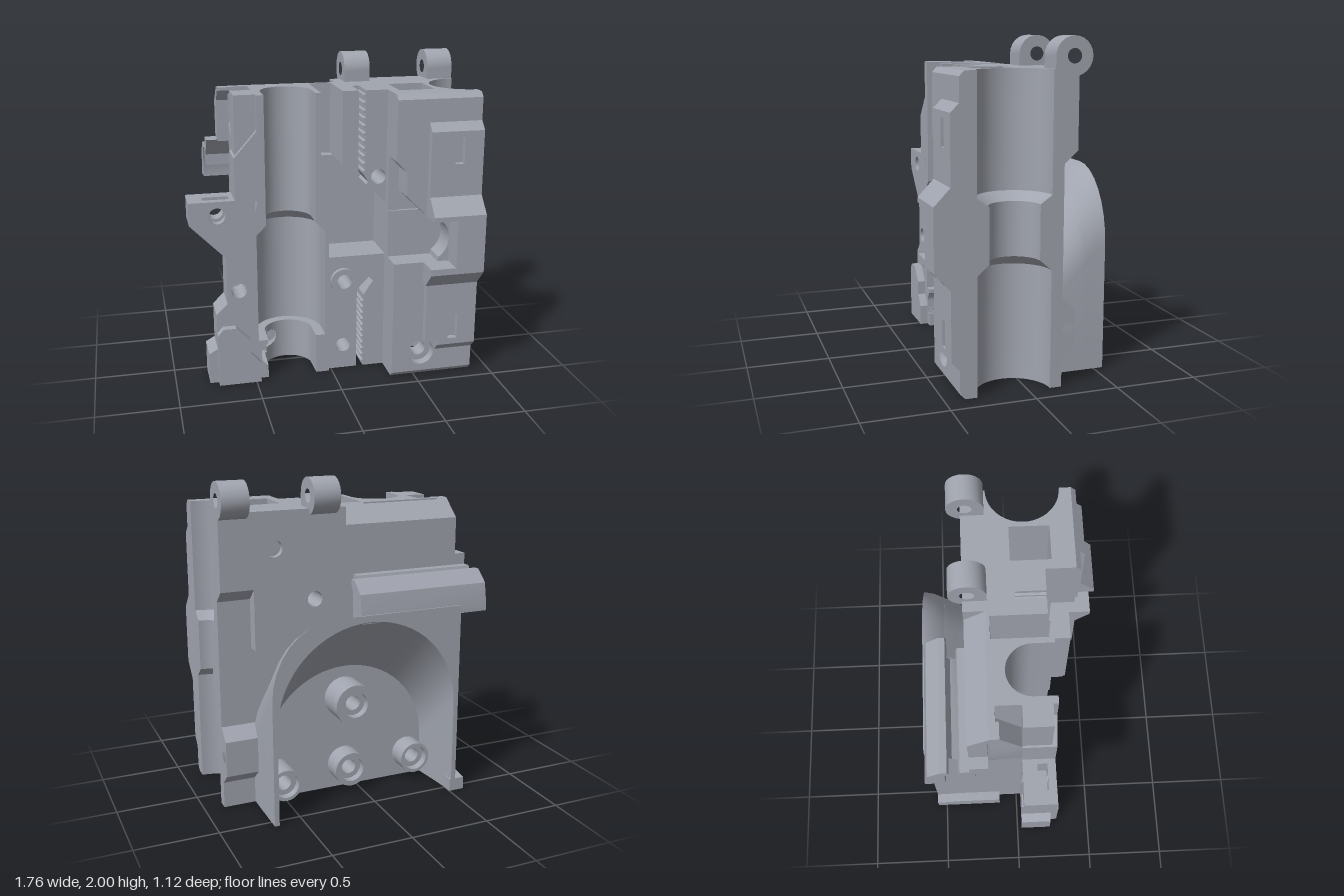
import * as THREE from 'three';
import { toCreasedNormals } from 'three/addons/utils/BufferGeometryUtils.js';

const material = new THREE.MeshStandardMaterial({ color: 0xa1a5af });
const V = (p) => new THREE.Vector2(p[0], p[1]);

export function createModel() {
  const group = new THREE.Group();

  const add = (name, geo) => {
    const mesh = new THREE.Mesh(toCreasedNormals(geo, 0.55), material);
    mesh.name = name;
    group.add(mesh);
  };
  const shapeOf = (pts, holes = []) => {
    const s = new THREE.Shape(pts.map(V));
    for (const [x, y, r] of holes) s.holes.push(new THREE.Path().absarc(x, y, r, 0, Math.PI * 2, true));
    return s;
  };
  // Plate: front outline (x, y) between two depths
  const plate = (name, pts, z0, z1, holes) =>
    add(name, new THREE.ExtrudeGeometry(shapeOf(pts, holes), { depth: z1 - z0, bevelEnabled: false, curveSegments: 14 }).translate(0, 0, z0));
  // Bar: side profile (z, y) between two x positions
  const bar = (name, pts, x0, x1, holes = []) =>
    add(name, new THREE.ExtrudeGeometry(
      shapeOf(pts.map(([z, y]) => [-z, y]), holes.map(([z, y, r]) => [-z, y, r])),
      { depth: x1 - x0, bevelEnabled: false, curveSegments: 14 }).rotateY(Math.PI / 2).translate(x0, 0, 0));
  const rect = (x0, x1, y0, y1) => [[x0, y0], [x1, y0], [x1, y1], [x0, y1]];

  // Skin a list of [depth, outline] rings with equal point counts
  const loft = (rings) => {
    const flip = THREE.ShapeUtils.isClockWise(rings[0][1].map(V));
    const rs = rings.map(([d, pts]) => (flip ? [...pts].reverse() : pts).map(([x, y]) => [x, y, d]));
    const n = rs[0].length, out = [];
    for (let k = 0; k < rs.length - 1; k++) {
      for (let i = 0; i < n; i++) {
        const j = (i + 1) % n, a = rs[k], b = rs[k + 1];
        out.push(...a[i], ...a[j], ...b[j], ...a[i], ...b[j], ...b[i]);
      }
    }
    const cap = (ring, back) => {
      for (const [a, b, c] of THREE.ShapeUtils.triangulateShape(ring.map(V), [])) {
        out.push(...ring[a], ...ring[back ? c : b], ...ring[back ? b : c]);
      }
    };
    cap(rs[0], true);
    cap(rs[rs.length - 1], false);
    const g = new THREE.BufferGeometry();
    g.setAttribute('position', new THREE.Float32BufferAttribute(out, 3));
    return g;
  };
  // Upright loft: rings of (x, z) outlines stacked in y
  const column = (name, rings) =>
    add(name, loft(rings.map(([y, pts]) => [y, pts.map(([x, z]) => [x, -z])])).rotateX(-Math.PI / 2));
  const arc = (cx, cy, r, a0, a1, n = 24) => Array.from({ length: n + 1 }, (_, i) => {
    const a = a0 + (a1 - a0) * i / n;
    return [cx + r * Math.cos(a), cy + r * Math.sin(a)];
  });
  const disc = (x, y, r) => arc(x, y, r, 0, Math.PI * 2, 24).slice(0, -1);

  // Left column with a U-shaped bearing channel, open to the front
  const leftRing = (r, xr, xl, xo, zs) => [[xo, -0.16], [xr, -0.16], [xr, 0.23], [-0.26 + r, 0.23],
    ...arc(-0.26, 0.1, r, 0, -Math.PI), [-0.26 - r, 0.23], [xl, 0.23], [xl, zs], [xo, zs]];
  column('leftBearingColumn', [
    [0.26, leftRing(0.215, -0.02, -0.5, -0.54, 0.03)], [0.96, leftRing(0.215, -0.02, -0.5, -0.54, 0.03)],
    [1.02, leftRing(0.155, -0.06, -0.5, -0.54, 0.03)], [1.19, leftRing(0.155, -0.07, -0.46, -0.58, 0.03)],
    [1.4, leftRing(0.155, -0.07, -0.46, -0.58, 0.03)], [1.6, leftRing(0.155, -0.07, -0.46, -0.58, -0.12)],
    [1.82, leftRing(0.155, -0.07, -0.46, -0.58, -0.12)]]);
  plate('leftColumnWing', [[-0.59, 1.82], [-0.59, 1.4], [-0.46, 1.56], [-0.46, 1.82]], 0.03, 0.2);
  plate('leftColumnWingLower', [[-0.6, 1.18], [-0.45, 1.18], [-0.45, 1.62], [-0.6, 1.45]], 0.03, 0.23);

  // Narrow lower end of the channel, with a counterbored screw hole cut into its wall
  const endRing = (y) => {
    const half = (r) => Math.sqrt(Math.max(0, r * r - (y - 0.16) ** 2));
    const front = Array.from({ length: 131 }, (_, i) => {
      const x = -0.02 - 0.52 * i / 130, d = Math.abs(x + 0.26), h = Math.abs(x + 0.37);
      const z = d < 0.155 ? 0.1 - Math.sqrt(0.155 ** 2 - d * d) : 0.23;
      return [x, h < half(0.048) ? -0.058 : h < half(0.085) ? Math.min(z, 0.02) : z];
    });
    return [y, [[-0.54, -0.06], [-0.02, -0.06], ...front]];
  };
  const boreLevels = Array.from({ length: 25 }, (_, i) => 0.16 + 0.086 * Math.sin((i - 12) * Math.PI / 24));
  column('leftChannelEnd', [0, ...boreLevels, 0.26].map(endRing));
  plate('leftChannelEndWall', rect(-0.54, -0.02, 0, 0.26), -0.15, -0.058, [[-0.37, 0.16, 0.048]]);

  // Left flange with ear, nut slot and foot
  const flangeSide = [[-0.88, 1.19], [-0.88, 1.05], [-0.665, 0.83], [-0.665, 0.53],
    [-0.735, 0.46], [-0.735, 0.23], [-0.79, 0.2], [-0.79, 0]];
  const nutSlot = [[-0.63, 1.19], [-0.63, 1.02], [-0.79, 1.02], [-0.79, 1.19]];
  for (const [z0, z1, slotted] of [[0.03, 0.12, false], [0.12, 0.18, true], [0.18, 0.23, false]]) {
    plate('leftFlange', [[-0.48, 0], [-0.48, 1.19], ...(slotted ? nutSlot : []), ...flangeSide], z0, z1,
      [[-0.59, 0.61, 0.048], ...(slotted ? [] : [[-0.71, 1.1, 0.05]])]);
  }
  plate('leftFoot', [[-0.735, 0], [-0.735, 0.34], [-0.7, 0.38], [-0.62, 0.38], [-0.53, 0.29], [-0.53, 0.2],
    [-0.47, 0.13], [-0.47, 0]], 0.22, 0.28);

  // Right column with a half-round bearing channel open to the side, and a rounded notch in its front
  const rightRing = (r, xn, zf = 0.41) => [[0.63, -0.2], [0.88, -0.2], ...arc(0.88, 0.09, r, -Math.PI / 2, -Math.PI * 1.5),
    [0.88, zf], [xn, zf], [xn, 0.26], [0.63, 0.26]];
  const notchRings = arc(0.55, 0.92, 0.15, -0.95, 0.95, 10).map(([x, y]) => [y, rightRing(0.15, x)]);
  column('rightBearingColumn', [
    [0, rightRing(0.22, 0.63, 0.38)], [0.03, rightRing(0.22, 0.63)], [0.7, rightRing(0.22, 0.63)], [0.76, rightRing(0.15, 0.63)],
    ...notchRings, [1.08, rightRing(0.15, 0.63)], [1.13, rightRing(0.22, 0.63)],
    [1.79, rightRing(0.22, 0.63)], [1.82, rightRing(0.22, 0.63, 0.38)]]);

  // Walls around the square vertical duct
  const ductHole = [[0.54, 0.16, 0.048]], ductBore = [[0.54, 0.16, 0.085]];
  const upperDuct = (top) => [[0.35, top], [0.35, 1.42], [0.42, 1.35], [0.42, 1.2], [0.55, 1.07], [0.63, 1.07], [0.63, top]];
  plate('ductBackWall', rect(0.35, 0.63, 0, 1.82), -0.2, 0, ductHole);
  plate('ductSideWall', rect(0.35, 0.41, 0, 1.82), 0, 0.25);
  plate('ductFrontWall', rect(0.35, 0.64, 0.77, 1.07), 0.24, 0.26);
  plate('ductLowerFront', rect(0.35, 0.63, 0, 0.77), 0.24, 0.35, ductHole);
  plate('ductLowerBore', rect(0.35, 0.63, 0, 0.77), 0.35, 0.38, ductBore);
  plate('ductLowerFace', rect(0.35, 0.63, 0.03, 0.77), 0.38, 0.41, ductBore);
  plate('ductUpperFront', upperDuct(1.82), 0.24, 0.38);
  plate('ductUpperFace', upperDuct(1.79), 0.38, 0.41);
  bar('ductBottomChamfer', [[0.38, 0], [0.41, 0.03], [0.38, 0.03]], 0.35, 0.63);
  bar('ductTopChamfer', [[0.38, 1.79], [0.41, 1.79], [0.38, 1.82]], 0.35, 0.63);

  // Raised front rib with two nut slots
  const ribProfiles = (slot, foot, step) => {
    const notch = (y) => (slot ? [[0.46, y + 0.08], [0.42, y + 0.08], [0.42, y - 0.08], [0.46, y - 0.08]] : []);
    return [[[0.4, 1.66], [0.41, 1.65], [0.46, 1.6], ...notch(1.48), [0.46, 1.2], [0.4, 1.2]],
      [[0.4, 0.63], [0.46, 0.63], ...notch(0.34), [0.46, foot + step], [0.41, foot], [0.4, foot]]];
  };
  for (const [x0, x1, slot, foot, step] of [[0.55, 0.63, false, 0.25, 0], [0.63, 0.7, false, 0.17, 0.05],
    [0.7, 0.76, true, 0.17, 0.05], [0.76, 0.88, false, 0.17, 0.05]]) {
    ribProfiles(slot, foot, step).forEach((p) => bar('frontRib', p, x0, x1));
  }
  bar('ribBulge', [[0.4, 1.2], [0.46, 1.2], [0.555, 1.1], [0.555, 0.73], [0.46, 0.63], [0.4, 0.63]], 0.7, 0.88);
  bar('ribBulgeLower', [[0.4, 0.77], [0.555, 0.77], [0.555, 0.73], [0.46, 0.63], [0.4, 0.63]], 0.54, 0.7);
  bar('ribBulgeUpper', [[0.4, 1.07], [0.555, 1.07], [0.555, 1.1], [0.46, 1.2], [0.4, 1.2]], 0.55, 0.7);

  // Middle posts with toothed belt slots
  const teeth = (y0, y1) => Array.from({ length: 11 }, (_, i) => {
    const y = y0 + (y1 - y0) * i / 11, s = (y1 - y0) / 11;
    return [[0.215, y], [0.215, y + s * 0.5], [0.2, y + s * 0.6], [0.2, y + s * 0.9]];
  }).flat();
  const upper = [[0.07, 1.82], [0.07, 1.37], [0.36, 1.1], [0.36, 1.82]];
  const upperHoles = [[0.3, 1.28, 0.047]];
  plate('upperPostBack', upper, -0.13, 0.02, upperHoles);
  plate('upperPostFront', [...upper, ...teeth(1.82, 1.3), [0.235, 1.25], [0.22, 1.235], [0.17, 1.29], [0.17, 1.82]],
    0.02, 0.2, upperHoles);
  const lowerHoles = [[0.08, 0.61, 0.047], [0.08, 0.16, 0.047]];
  plate('lowerPostBack', rect(-0.03, 0.36, 0, 0.77), -0.13, 0.02, lowerHoles);
  plate('lowerPostFront', [[-0.03, 0], [0.17, 0], [0.17, 0.54], [0.25, 0.62], [0.275, 0.59], [0.215, 0.5],
    ...teeth(0.48, 0.02), [0.215, 0], [0.36, 0], [0.36, 0.77], [-0.03, 0.77]], 0.02, 0.2, lowerHoles);
  plate('recessFloor', [[-0.03, 0.77], [0.36, 0.77], [0.36, 1.1], [0.08, 1.37], [-0.03, 1.37]], -0.13, -0.06, upperHoles);
  plate('frontBoss', disc(0.08, 0.61, 0.085), 0.19, 0.23, [[0.08, 0.61, 0.047]]);

  // Back plates, with a stepped overhanging rail on the left
  plate('lowerBackPlate', rect(-0.54, 0.36, 0, 1.05), -0.2, -0.12, [...lowerHoles, [-0.37, 0.16, 0.048]]);
  const backOutline = [[-0.56, 1.7], [-0.56, 1.1], [-0.54, 1.0], [0.68, 1.0], [0.68, 1.38], [0.88, 1.38], [0.88, 1.82], [0.1, 1.82], [0.1, 1.7]];
  plate('upperBackPlate', backOutline, -0.24, -0.13, upperHoles);
  plate('upperBackFace', backOutline, -0.28, -0.24, [...upperHoles, [0.55, 1.6, 0.05]]);
  bar('upperBackRidge', [[-0.28, 1.69], [-0.13, 1.69], [-0.13, 1.82], [-0.15, 1.82], [-0.28, 1.71]], -0.57, 0.1);
  bar('railUpper', [[-0.1, 1.82], [-0.1, 1.8], [-0.17, 1.73], [-0.17, 1.47], [-0.28, 1.47], [-0.28, 1.71], [-0.15, 1.82]], -0.65, -0.55);
  bar('railLower', [[-0.17, 1.48], [-0.25, 1.37], [-0.28, 1.37], [-0.28, 1.48]], -0.72, -0.55);
  bar('upperBackLip', [[-0.25, 1.41], [-0.335, 1.41], [-0.345, 1.38], [-0.3, 1.34], [-0.25, 1.3]], -0.72, 0.05);

  // Rear housing with a conical arched cavity open at the back and bottom; its roof holds a round-bottomed groove
  const housingRing = (z, roof, slope) => {
    const t = (z + 0.56) / 0.36, r = 0.58 - 0.04 * t, cy = 0.6 - 0.33 * t;
    const shoulder = arc(0, 0, 1, Math.PI / 2, 0, 8).map(([x, y]) => [0.3 + 0.38 * x, slope - 0.45 + 0.45 * y]);
    return [z, [[-0.54, 0], [-0.54, roof], [0.12, roof], [0.121, slope], ...shoulder, [0.68, 0],
      [0.07 + r, 0], ...arc(0.07, cy, r, 0, Math.PI, 32), [0.07 - r, 0]]];
  };
  add('rearHousing', loft([
    housingRing(-0.56, 1.22, 1.22), housingRing(-0.5, 1.22, 1.19), housingRing(-0.43, 1.22, 1.11),
    housingRing(-0.429, 1.11, 1.11), housingRing(-0.4, 1.05, 1.08), housingRing(-0.355, 1.03, 1.03),
    housingRing(-0.31, 1.05, 0.98), housingRing(-0.28, 1.11, 0.95), housingRing(-0.19, 1.11, 0.86)]));
  bar('housingFoot', [[-0.56, 0], [-0.56, 0.08], [-0.4, 0.1], [-0.12, 0.1], [-0.12, 0]], -0.6, -0.5);

  // Clamp lip along the housing top
  const lip = [[-0.43, 1.18], [-0.43, 1.33], [-0.4, 1.385], [-0.41, 1.41], [-0.45, 1.41], [-0.53, 1.34], [-0.555, 1.2], [-0.555, 1.17]];
  bar('rearClampLip', lip, -0.72, 0.12);

  // Screw bosses inside the cavity
  for (const [x, y, r, z] of [[0.08, 0.61, 0.13, -0.34], [0.08, 0.16, 0.11, -0.28], [0.54, 0.16, 0.1, -0.34], [-0.37, 0.16, 0.1, -0.28]]) {
    plate('cavityBoss', disc(x, y, r), z, -0.19, [[x, y, 0.047]]);
    plate('bossNutRing', disc(x, y, r), z - 0.05, z, [[x, y, 0.08]]);
  }

  // Hinge knuckles on the top edge
  for (const x of [0.165, 0.715]) {
    bar('hingeKnuckle', disc(-0.25, 1.89, 0.11), x, x + 0.165, [[-0.25, 1.89, 0.042]]);
    bar('hingeStem', [[-0.14, 1.89], [-0.14, 1.75], [-0.28, 1.75], [-0.28, 1.8], [-0.21, 1.82]], x, x + 0.165);
  }

  // Tie lugs behind the right channel
  for (const y of [0.345, 1.48]) {
    bar('tieLug', [[-0.19, y + 0.19], [-0.28, y + 0.11], [-0.28, y - 0.11], [-0.19, y - 0.19]], 0.66, 0.88, [[-0.235, y, 0.035]]);
  }
  return group;
}
